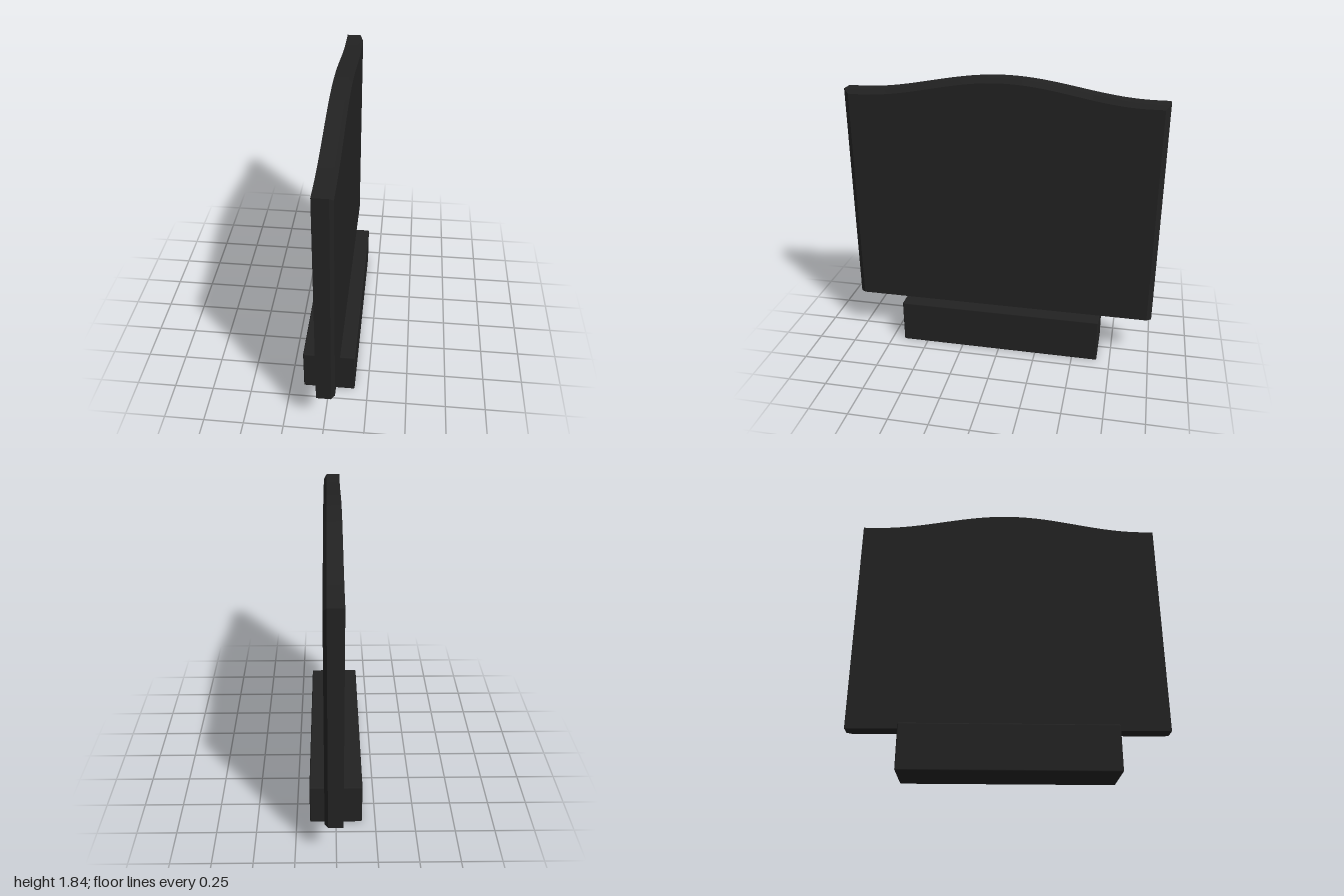
import * as THREE from 'three';
import { toCreasedNormals } from 'three/addons/utils/BufferGeometryUtils.js';
import { RoundedBoxGeometry } from 'three/addons/geometries/RoundedBoxGeometry.js';

const BASE_TOP = 0.288;

// Height of the slab's gently crowned top edge
function crown(u) {
  const t = Math.min(Math.abs(u) / 0.92, 1);
  return 1.785 + 0.055 * Math.cos(Math.PI * t);
}

// Upright slab: flat back, chamfer around the sides and top of the +x face
function slabGeometry() {
  const shape = new THREE.Shape();
  shape.moveTo(-1, BASE_TOP);
  shape.lineTo(1, BASE_TOP);
  const n = 48;
  for (let i = 0; i <= n; i++) {
    const u = 1 - (2 * i) / n;
    shape.lineTo(u, crown(u));
  }
  const geometry = new THREE.ExtrudeGeometry(shape, { depth: 2, steps: 2, bevelEnabled: false });

  // Layer 0 is the back, layer 1 the chamfer's start, layer 2 the inset face
  const depths = [-0.04, 0.05, 0.07];
  const p = geometry.attributes.position;
  for (let i = 0; i < p.count; i++) {
    const layer = Math.round(p.getZ(i));
    if (layer === 2) {
      p.setX(i, p.getX(i) * 0.97);
      if (p.getY(i) > 1) p.setY(i, p.getY(i) - 0.028);
    }
    p.setZ(i, depths[layer]);
  }
  geometry.rotateY(Math.PI / 2);
  return toCreasedNormals(geometry, 0.4);
}

export function createModel() {
  const group = new THREE.Group();
  group.name = 'headstone';
  const stone = new THREE.MeshStandardMaterial({ color: 0x222222 });
  stone.name = 'black granite';

  const slab = new THREE.Mesh(slabGeometry(), stone);
  slab.name = 'slab';

  // Plinth with slightly softened edges
  const base = new THREE.Mesh(new RoundedBoxGeometry(0.33, BASE_TOP, 1.33, 2, 0.008), stone);
  base.name = 'base';
  base.position.y = BASE_TOP / 2;

  group.add(slab, base);
  return group;
}
